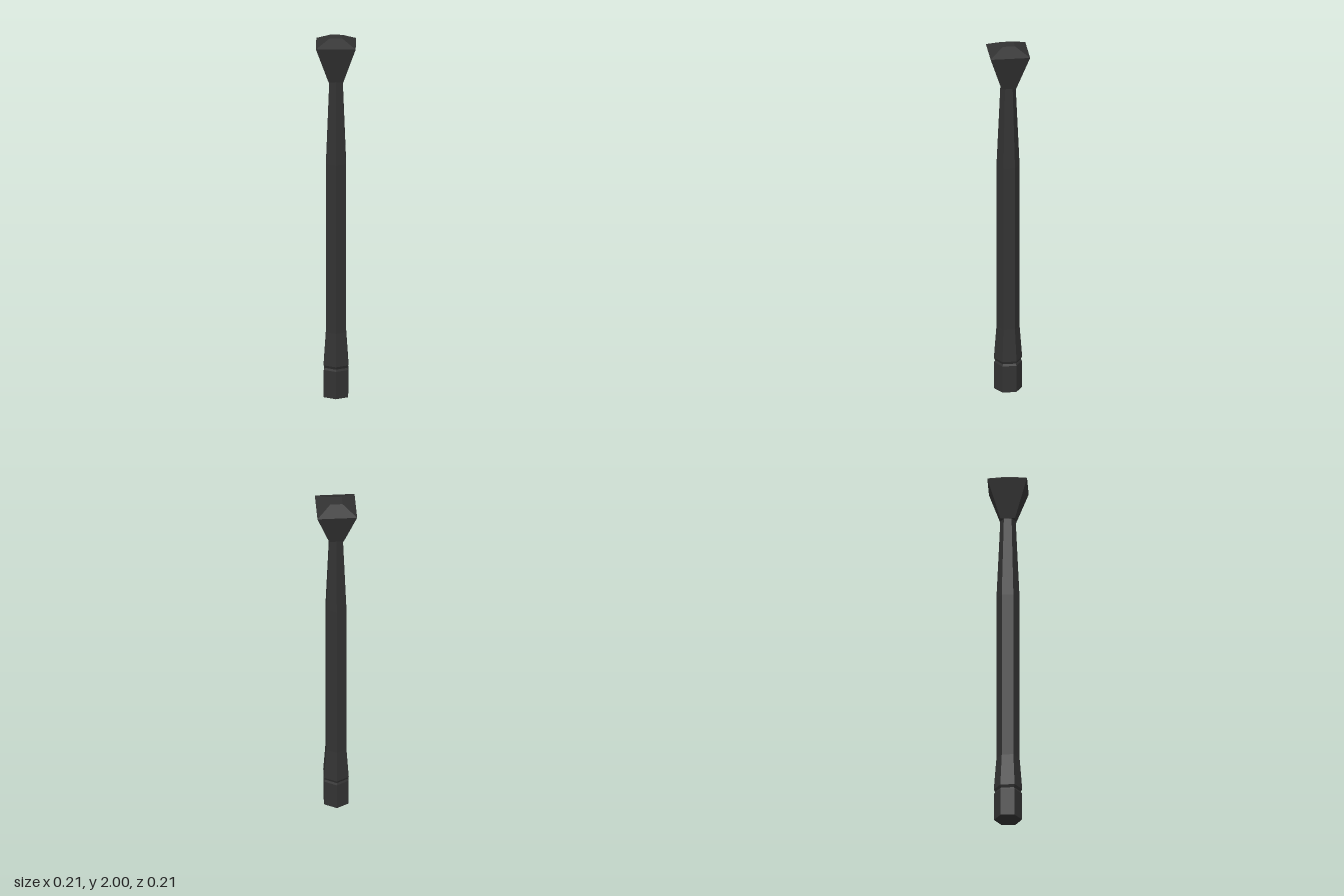
import * as THREE from 'three';

const material = new THREE.MeshStandardMaterial({ color: 0x333333, flatShading: true });

// Faceted solid turned from [radius, height] points, listed bottom to top
function faceted(name, profile, sides, turn = 0) {
  const points = profile.map(([r, y]) => new THREE.Vector2(r, y));
  const mesh = new THREE.Mesh(new THREE.LatheGeometry(points, sides, turn), material);
  mesh.name = name;
  return mesh;
}

export function createModel() {
  const group = new THREE.Group();
  group.name = 'post';

  // Hexagonal foot block with a bevelled top edge
  group.add(faceted('foot', [
    [0, 0], [0.075, 0], [0.075, 0.152], [0.069, 0.163], [0, 0.163],
  ], 6));

  // Hexagonal shaft: flared bottom, straight middle, tapered neck
  group.add(faceted('shaft', [
    [0, 0.163], [0.069, 0.163], [0.076, 0.178], [0.062, 0.36],
    [0.062, 1.3], [0.041, 1.76], [0, 1.76],
  ], 6));

  // Square head: half widths become corner radii
  const head = [[0, 1.755], [0.039, 1.755], [0.106, 1.96], [0.033, 2], [0, 2]]
    .map(([half, y]) => [half * Math.SQRT2, y]);
  group.add(faceted('head', head, 4, Math.PI / 4));

  return group;
}
